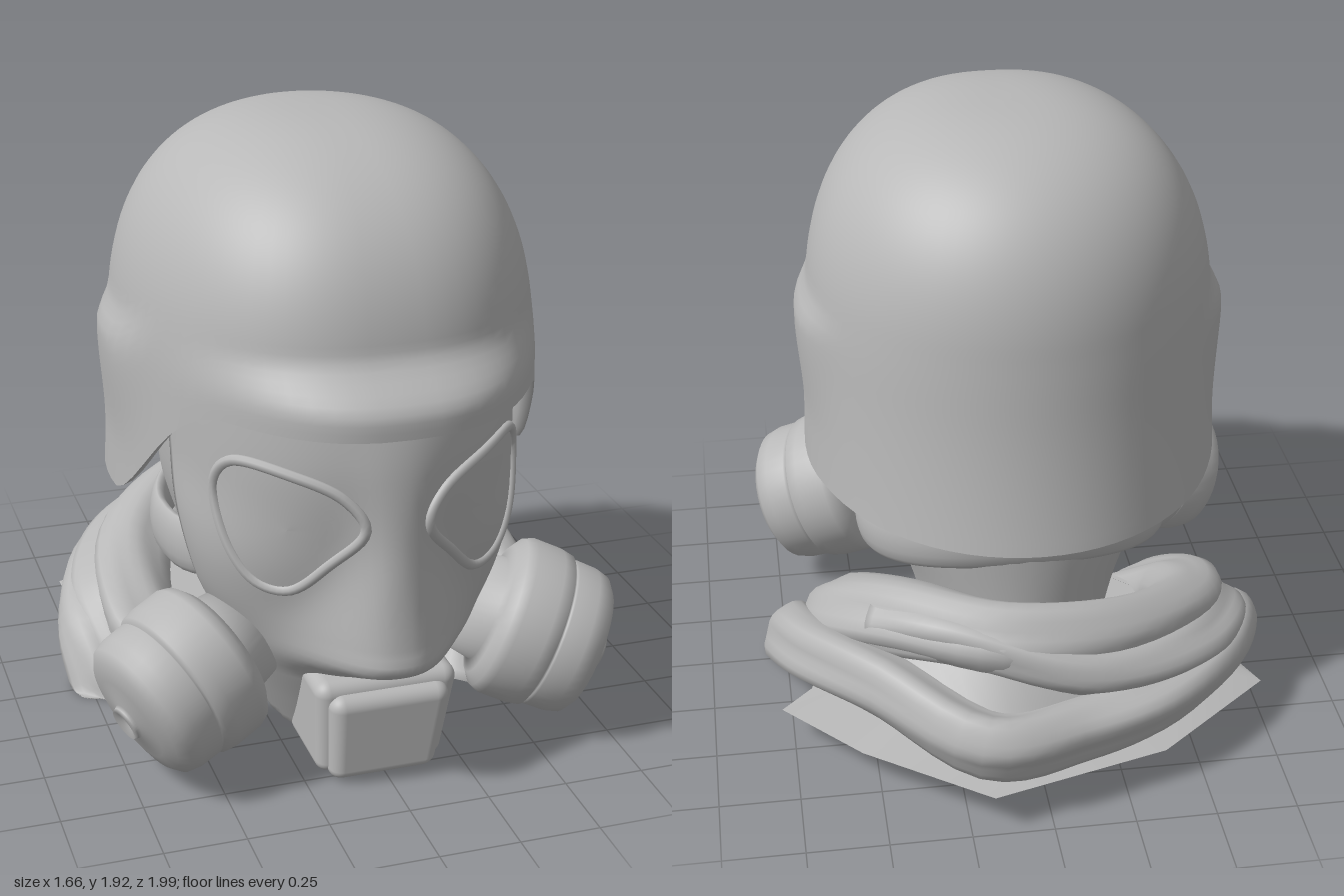
import * as THREE from 'three';
import { RoundedBoxGeometry } from 'three/addons/geometries/RoundedBoxGeometry.js';

const { sin, cos, abs, pow, exp, PI, max, min, sign } = Math;
const smooth = THREE.MathUtils.smoothstep;
const grey = new THREE.MeshStandardMaterial({ color: 0xb8b8b8, side: THREE.DoubleSide });
grey.name = 'plain grey';

// smooth curve through [position, value] pairs sorted by position
function curve(pts) {
  const slope = (i) => {
    const a = pts[max(0, i - 1)], b = pts[min(pts.length - 1, i + 1)];
    return (b[1] - a[1]) / (b[0] - a[0]);
  };
  return (p) => {
    if (p <= pts[0][0]) return pts[0][1];
    const i = pts.findIndex((q) => q[0] >= p) - 1;
    if (i < 0) return pts[pts.length - 1][1];
    const d = pts[i + 1][0] - pts[i][0], t = (p - pts[i][0]) / d, t2 = t * t, t3 = t2 * t;
    return (2 * t3 - 3 * t2 + 1) * pts[i][1] + (t3 - 2 * t2 + t) * d * slope(i)
      + (3 * t2 - 2 * t3) * pts[i + 1][1] + (t3 - t2) * d * slope(i + 1);
  };
}

// surface over a grid of nu by nv cells; fn(i, j) gives [x, y, z]
function grid(nu, nv, fn, closed = false) {
  const cols = closed ? nu : nu + 1, pos = [], idx = [];
  for (let j = 0; j <= nv; j++) for (let i = 0; i < cols; i++) pos.push(...fn(i, j));
  for (let j = 0; j < nv; j++) for (let i = 0; i < nu; i++) {
    const n = (i + 1) % cols, a = j * cols + i, b = j * cols + n, c = b + cols, d = a + cols;
    idx.push(a, b, c, a, c, d);
  }
  const g = new THREE.BufferGeometry();
  g.setAttribute('position', new THREE.Float32BufferAttribute(pos, 3));
  g.setIndex(idx);
  g.computeVertexNormals();
  return g;
}

// helmet: dome with front brim, low sides and ear bulges
const TOP = 1.94;
function helmetPoint(th, t, s = 1) {
  const c = cos(th), sn = sin(th);
  const rim = 0.795 + 0.42 * smooth(0.08 + 0.8 * c, 0.12, 0.68);
  const y = rim + (TOP - rim) * sin(t * PI / 2);
  const k = max(0, (y - 1.2) / (TOP - 1.2));
  const dome = pow(max(0, 1 - pow(k, 2.6)), 0.385), low = pow(max(0, 1.4 - y) / 0.6, 1.5);
  const front = 0.8 * dome + 0.12 * smooth(1.42 - y, 0, 0.15) * pow(max(0, c), 2.2);
  const z = 0.08 + c * (c > 0 ? front : 0.68 * dome + 0.09 * low);
  const ear = 0.035 * exp(-pow((z - 0.08) / 0.25, 4)) * smooth(1.39 - y, 0, 0.1) * (1 - 0.8 * smooth(1.28 - y, 0, 0.35));
  const x = sign(sn) * (pow(abs(sn), c > 0 ? 0.82 : 1) * (0.64 * dome + 0.015 * low) + ear);
  return [x * s, y + (s < 1 ? (t === 0 ? 0.01 : -0.04 * t) : 0), 0.08 + (z - 0.08) * s];
}

// mask: half widths, front depth and rear edge by height, plus the nose
const maskW = curve([[0.02, 0.23], [0.2, 0.31], [0.4, 0.39], [0.6, 0.48], [0.8, 0.525], [1, 0.53], [1.3, 0.54]]);
const maskF = curve([[0.02, 0.58], [0.2, 0.68], [0.4, 0.78], [0.6, 0.81], [0.8, 0.85], [1.05, 0.88], [1.3, 0.85]]);
const maskB = curve([[0.02, 0.27], [0.2, 0.32], [0.45, 0.4], [0.7, 0.41], [0.95, 0.33], [1.3, 0.3]]);
const noseN = curve([[0.35, 0], [0.39, 0.06], [0.45, 0.17], [0.52, 0.16], [0.6, 0.14], [0.8, 0.075], [1, 0.025], [1.2, 0]]);
const noseS = curve([[0.4, 0.23], [0.55, 0.2], [0.8, 0.12], [1.1, 0.12]]);
function maskZ(x, y) {
  const c = Math.sqrt(max(0, 1 - pow(x / maskW(y), 2)));
  return maskB(y) + (maskF(y) - maskB(y)) * c + noseN(y) * exp(-pow(abs(x) / noseS(y), 2.6));
}
// the underside of the jaw rises towards the throat
const jawPoint = (x, y, z) => [x, max(y, 0.02 + 0.11 * smooth(0.56 - z, 0, 0.25)), z];

// head and neck
const headW = curve([[0.1, 0.29], [0.2, 0.3], [0.4, 0.35], [0.6, 0.43], [0.8, 0.48], [1.3, 0.5]]);
const headF = curve([[0.1, 0.42], [0.3, 0.45], [0.6, 0.65], [0.8, 0.72], [1.3, 0.72]]);

// cloth roll swept along a path with shallow folds, cut flat at the bottom
const pathOf = (points) => new THREE.CatmullRomCurve3(points.map((p) => new THREE.Vector3(...p)));
function clothRoll(path, wide, tall, phase) {
  const nu = 24, nv = 60, up = new THREE.Vector3(0, 1, 0);
  return grid(nu, nv, (i, j) => {
    const t = j / nv, p = path.getPoint(t), tan = path.getTangent(t);
    const side = tan.clone().cross(up).normalize(), rise = side.clone().cross(tan);
    const a = (i / nu) * 2 * PI;
    const r = (j === 0 || j === nv ? 0 : 1) * (1 + 0.1 * sin(3 * a + 7 * t + phase) + 0.06 * sin(5 * a - 11 * t));
    p.addScaledVector(side, cos(a) * wide * r).addScaledVector(rise, sin(a) * tall * r);
    return [p.x, max(0.02, p.y), p.z];
  }, true);
}

export function createModel() {
  const model = new THREE.Group();
  const group = (name) => {
    const g = new THREE.Group();
    g.name = name;
    model.add(g);
    return g;
  };
  const head = group('maskedHead'), scarf = group('scarf');
  head.position.x = -0.012;
  const add = (parent, name, geometry) => {
    const m = new THREE.Mesh(geometry, grey);
    m.name = name;
    parent.add(m);
    return m;
  };

  // helmet shell and its lining with a lip along the rim
  const angle = (i) => (i / 72) * 2 * PI;
  add(head, 'helmetShell', grid(72, 48, (i, j) => helmetPoint(angle(i), j / 48), true));
  add(head, 'helmetLining', grid(72, 12, (i, j) => (j === 0
    ? helmetPoint(angle(i), 0) : helmetPoint(angle(i), (j - 1) / 11, 0.95)), true));

  // head and neck column
  add(head, 'headAndNeck', grid(40, 24, (i, j) => {
    const a = (i / 40) * 2 * PI, y = 0.17 + 1.13 * j / 24;
    return [headW(y) * sin(a), y, cos(a) * (cos(a) > 0 ? headF(y) : 0.42)];
  }, true));

  // face mask with edges turned in and a closed bottom
  add(head, 'faceMask', grid(60, 56, (i, j) => {
    const y = 0.02 + 1.28 * max(0, j - 1) / 55;
    if (j === 0) return jawPoint(0, y, 0.4);
    if (i === 0 || i === 60) return jawPoint(sign(i - 30) * maskW(y) * 0.78, y, maskB(y) - 0.03);
    const x = maskW(y) * sin(((i - 1) / 58 - 0.5) * PI);
    return jawPoint(x, y, maskZ(x, y));
  }));

  // eye lenses with raised rims
  const eye = new THREE.CatmullRomCurve3([[0.095, 0.9], [0.15, 0.99], [0.27, 1.05], [0.42, 1.07], [0.462, 1.0],
    [0.44, 0.8], [0.37, 0.69], [0.29, 0.675], [0.19, 0.77]].map(([x, y]) => new THREE.Vector3(x, y, 0)), true);
  for (const [side, s] of [['left', 1], ['right', -1]]) {
    const outline = eye.getPoints(48).slice(0, 48);
    add(head, side + 'Lens', grid(48, 6, (i, j) => {
      const k = 1 - j / 6, x = 0.3 + (outline[i].x - 0.3) * k, y = 0.88 + (outline[i].y - 0.88) * k;
      return [s * x, y, maskZ(x, y) + 0.006];
    }, true));
    const rim = new THREE.CatmullRomCurve3(
      outline.map((p) => new THREE.Vector3(s * p.x, p.y, maskZ(p.x, p.y) + 0.002)), true);
    add(head, side + 'LensRim', new THREE.TubeGeometry(rim, 72, 0.017, 8, true));
  }

  // chin valve and the frame behind it, narrower and set back towards the bottom
  const chin = (w, h, d, y0, z0) => {
    const g = new RoundedBoxGeometry(w, h, d, 4, 0.045), p = g.attributes.position;
    for (let i = 0; i < p.count; i++) {
      const t = 0.5 - p.getY(i) / h;
      p.setXYZ(i, p.getX(i) * (1 - 0.13 * t), p.getY(i) + y0, p.getZ(i) + z0 - 0.08 * t * t);
    }
    return g;
  };
  add(head, 'chinValve', chin(0.38, 0.325, 0.32, 0.183, 0.715));
  add(head, 'chinFrame', chin(0.45, 0.35, 0.32, 0.205, 0.675));

  // filter canisters turned about a tilted axis, with a stub into the cheek
  const profile = [[0, -0.015], [0.025, -0.01], [0.05, 0.005], [0.055, -0.005], [0.06, -0.015], [0.14, -0.025],
    [0.195, -0.04], [0.227, -0.065], [0.238, -0.105], [0.24, -0.175], [0.232, -0.18], [0.232, -0.187],
    [0.25, -0.192], [0.257, -0.23], [0.257, -0.32], [0.245, -0.35], [0.21, -0.375], [0.17, -0.385], [0.15, -0.5], [0, -0.5]]
    .map(([r, y]) => new THREE.Vector2(r, y)).reverse();
  for (const [side, s] of [['left', 1], ['right', -1]]) {
    const can = add(head, side + 'Filter', new THREE.LatheGeometry(profile, 40));
    can.position.set(s * 0.765, 0.255, 0.655);
    can.quaternion.setFromUnitVectors(new THREE.Vector3(0, 1, 0), new THREE.Vector3(s * 0.87, -0.37, 0.32).normalize());
  }

  // padded strap around the back of the head
  add(head, 'headStrap', grid(14, 48, (i, j) => {
    const a = PI / 3 + (j / 48) * PI * 4 / 3, b = (i / 14) * 2 * PI, r = 0.03 * cos(b);
    const z = cos(a) * (cos(a) > 0 ? 0.9 : 0.4);
    return [sin(a) * (0.485 + r), 0.58 + 0.55 * z * z + 0.09 * sin(b), z + cos(a) * r];
  }, true));

  // scarf: overlapping cloth rolls around the neck, joined by a sheet
  const inner = pathOf([[0.42, -0.07, 0.3], [0.5, 0.05, 0.16], [0.56, 0.22, -0.04], [0.54, 0.36, -0.25], [0.38, 0.48, -0.48],
    [0.1, 0.49, -0.65], [-0.25, 0.44, -0.6], [-0.52, 0.34, -0.35], [-0.57, 0.2, -0.04], [-0.48, 0.05, 0.16],
    [-0.42, -0.07, 0.27]]);
  const outer = pathOf([[0.66, -0.07, 0.15], [0.71, 0.07, 0.04], [0.72, 0.18, -0.1], [0.66, 0.28, -0.34], [0.46, 0.33, -0.62],
    [0.17, 0.27, -0.88], [-0.1, 0.25, -0.81], [-0.35, 0.25, -0.71], [-0.6, 0.24, -0.46], [-0.71, 0.17, -0.17],
    [-0.7, 0.04, -0.03], [-0.68, -0.07, 0.03]]);
  const crossing = pathOf([[0.48, 0.44, -0.43], [0.25, 0.49, -0.61], [-0.15, 0.39, -0.71], [-0.5, 0.33, -0.53],
    [-0.66, 0.24, -0.22], [-0.62, 0.05, 0.03], [-0.6, -0.07, 0.1]]);
  add(scarf, 'innerRoll', clothRoll(inner, 0.12, 0.11, 0));
  add(scarf, 'outerRoll', clothRoll(outer, 0.1, 0.1, 2));
  add(scarf, 'crossingRoll', clothRoll(crossing, 0.1, 0.085, 4));
  add(scarf, 'joiningCloth', grid(50, 4, (i, j) => {
    const p = inner.getPoint(i / 50).lerp(outer.getPoint(i / 50), j / 4);
    return [p.x, max(0.02, p.y + 0.03), p.z];
  }));

  // loose cloth under the rolls with pointed corners, rising to the flat neck base
  const hem = [[0.42, 0.03, 0.3], [0.6, 0.02, 0.1], [0.68, 0.03, -0.2], [0.785, 0.14, -0.45], [0.55, 0.12, -0.68],
    [0.18, 0.15, -0.99], [-0.38, 0.12, -0.8], [-0.745, 0.15, -0.53], [-0.7, 0.05, -0.2], [-0.6, 0.02, 0.08], [-0.42, 0.03, 0.26]];
  add(scarf, 'looseCloth', grid(hem.length - 1, 1, (i, j) => {
    const [x, y, z] = hem[i], a = Math.atan2((x + 0.03) / 0.47, (z + 0.18) / 0.4);
    return j ? [-0.03 + 0.47 * sin(a), 0.18, -0.18 + 0.4 * cos(a)] : [x, y, z];
  }));
  const base = add(scarf, 'neckBase', new THREE.CircleGeometry(1, 36));
  base.scale.set(0.48, 0.41, 1);
  base.rotation.x = PI / 2;
  base.position.set(-0.03, 0.178, -0.18);

  return model;
}
